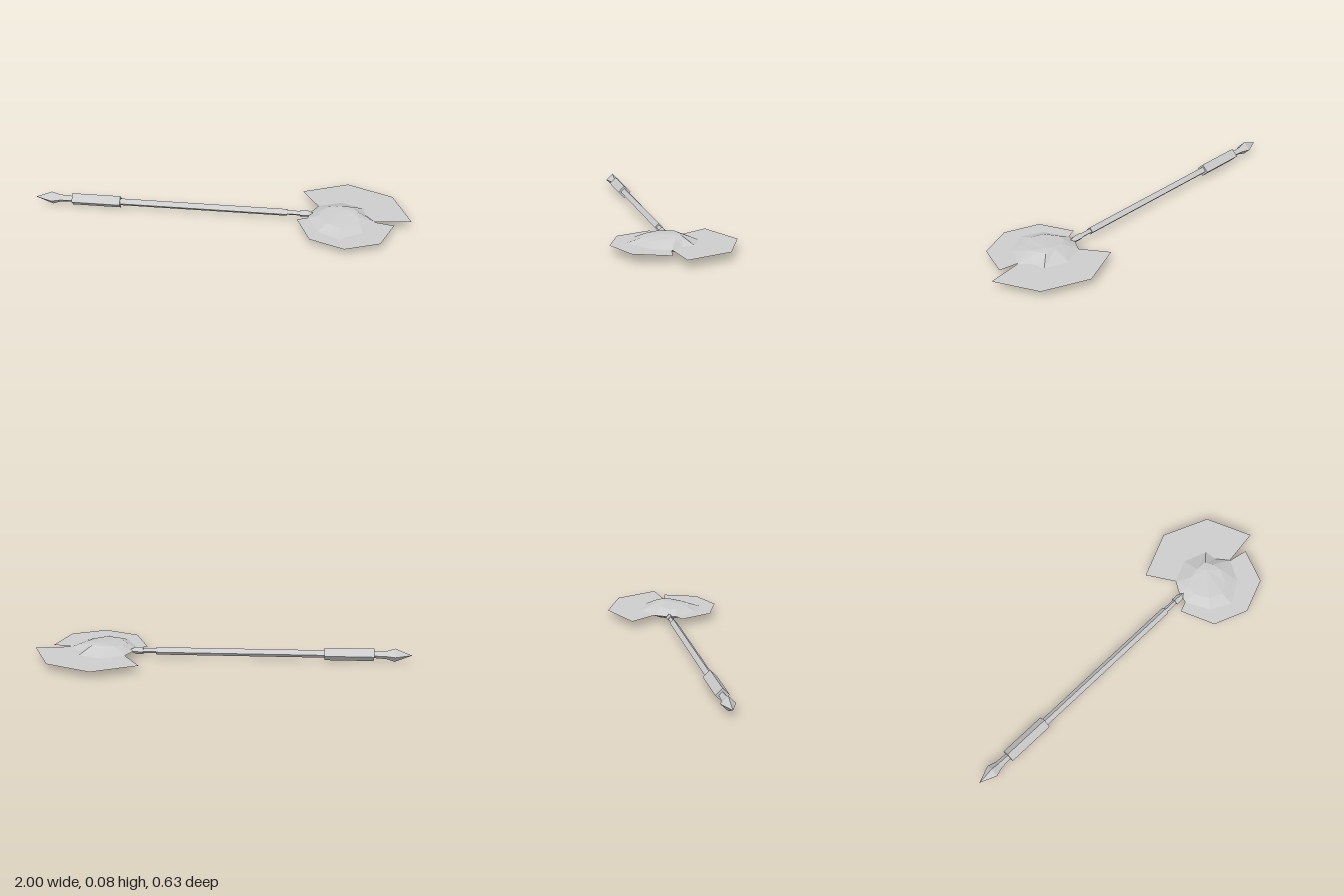
import * as THREE from 'three';

const MID = 0.042; // height of the symmetry plane

export function createModel() {
  const group = new THREE.Group();
  const steel = new THREE.MeshStandardMaterial({ color: 0xcccccc, flatShading: true, side: THREE.DoubleSide });
  steel.name = 'grey steel';

  const add = (name, geometry) => {
    const mesh = new THREE.Mesh(geometry, steel);
    mesh.name = name;
    mesh.position.y = MID;
    group.add(mesh);
  };

  // Four-sided turned part along x, from [x, radius] pairs
  const turned = (name, profile) => {
    const geo = new THREE.LatheGeometry(profile.map(([x, r]) => new THREE.Vector2(r, x)), 4);
    geo.rotateZ(-Math.PI / 2);
    add(name, geo);
  };
  turned('pommelSpike', [[-1, 0], [-0.91, 0.037], [-0.865, 0.022], [-0.8, 0.018]]);
  turned('grip', [[-0.8, 0], [-0.8, 0.035], [-0.54, 0.035], [-0.54, 0]]);
  turned('shaft', [[-0.54, 0.021], [0.35, 0.021], [0.35, 0]]);
  turned('neck', [[0.35, 0.014], [0.42, 0.014]]);
  turned('collar', [[0.42, 0], [0.42, 0.02], [0.46, 0.019], [0.505, 0]]);

  // Flat blades lying in the symmetry plane, from [x, z] outlines
  const blade = (name, outline) => {
    const shape = new THREE.Shape(outline.map(([x, z]) => new THREE.Vector2(x, -z)));
    add(name, new THREE.ShapeGeometry(shape).rotateX(-Math.PI / 2));
  };
  blade('largeBlade', [[0.42, -0.22], [0.66, -0.32], [0.9, -0.22], [1, 0.015], [0.81, 0.04], [0.68, 0.02], [0.51, -0.08]]);
  blade('smallBlade', [[0.405, 0.062], [0.48, 0.24], [0.66, 0.31], [0.84, 0.24], [0.91, 0.062], [0.8, 0.04], [0.64, 0.03], [0.46, 0.04]]);

  // Faceted head: outer rim [x, z], raised ring [x, height, z] and a crown point
  const rim = [[0.46, 0.04], [0.475, -0.02], [0.51, -0.08], [0.63, -0.13], [0.75, -0.085],
    [0.76, -0.02], [0.81, 0.04], [0.75, 0.15], [0.63, 0.22], [0.52, 0.165]];
  const ring = [[0.52, 0.026, 0.05], [0.53, 0.028, 0], [0.57, 0.033, -0.03], [0.63, 0.036, -0.04], [0.69, 0.037, -0.035],
    [0.71, 0.036, 0], [0.72, 0.032, 0.05], [0.69, 0.021, 0.12], [0.63, 0.023, 0.15], [0.56, 0.026, 0.12]];
  const crown = [0.66, 0.041, 0.0];
  const pos = [];
  const tri = (a, b, c) => {
    pos.push(...a, ...b, ...c);
    for (const p of [a, c, b]) pos.push(p[0], -p[1], p[2]); // mirrored underside
  };
  rim.forEach(([x, z], i) => {
    const j = (i + 1) % rim.length;
    const a = [x, 0, z], b = [rim[j][0], 0, rim[j][1]];
    tri(a, ring[i], b);
    tri(b, ring[i], ring[j]);
    tri(ring[i], crown, ring[j]);
  });
  const head = new THREE.BufferGeometry();
  head.setAttribute('position', new THREE.Float32BufferAttribute(pos, 3));
  head.computeVertexNormals();
  add('axeHead', head);

  return group;
}
